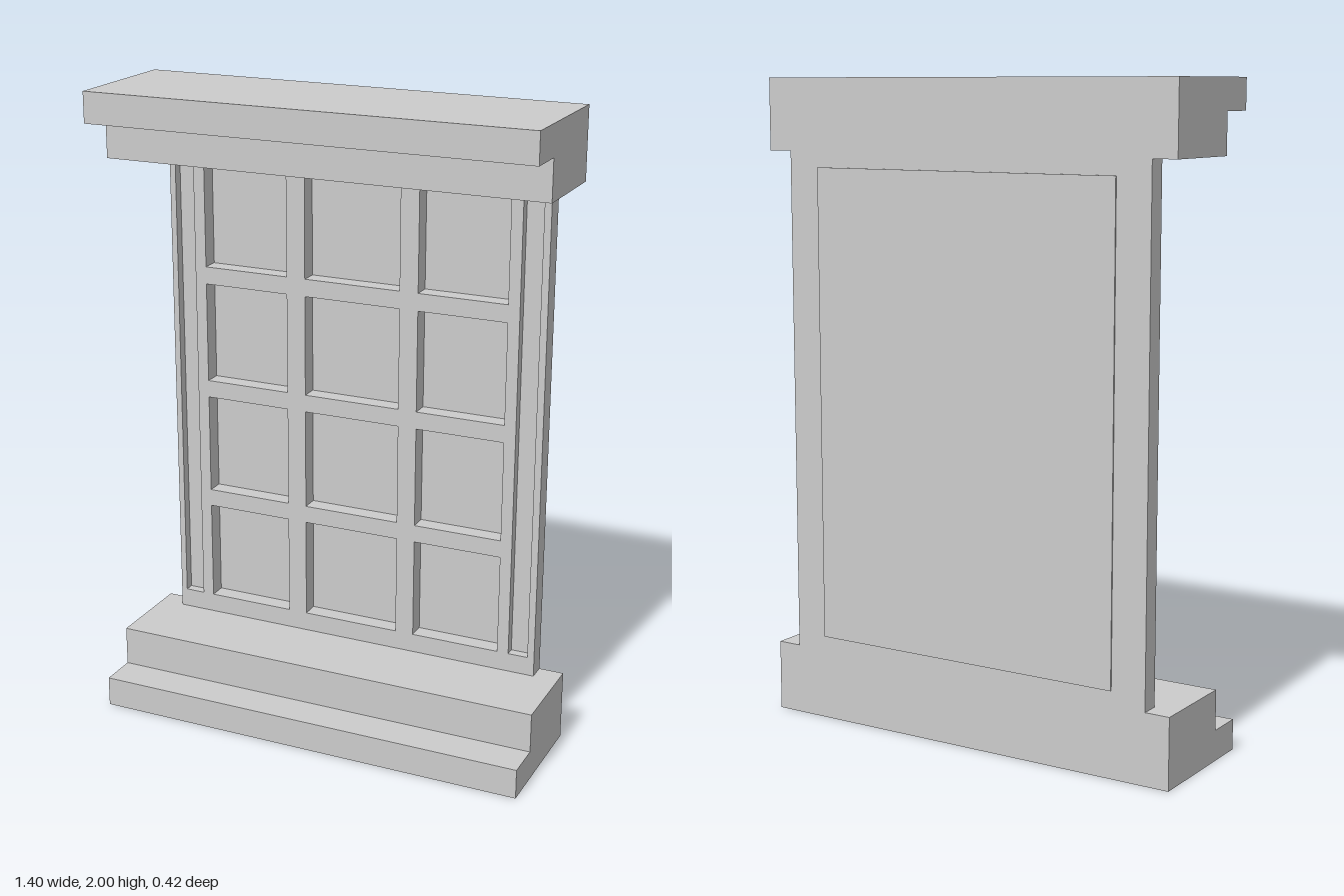
import * as THREE from 'three';

const BACK = -0.208, FRONT = -0.15, SLOT = -0.18;

function rectPoints([x0, x1, y0, y1]) {
  return [[x0, y0], [x1, y0], [x1, y1], [x0, y1]].map(([x, y]) => new THREE.Vector2(x, y));
}

// Flat panel with rectangular openings, between two depths
function panel(outline, openings, z0, z1) {
  const shape = new THREE.Shape(rectPoints(outline));
  for (const o of openings) shape.holes.push(new THREE.Path(rectPoints(o).reverse()));
  return new THREE.ExtrudeGeometry(shape, { depth: z1 - z0, bevelEnabled: false }).translate(0, 0, z0);
}

// Stepped profile run along x; the flipped one becomes the cornice
function ledge(flip) {
  const y = (v) => (flip ? 2 - v : v);
  const profile = [[BACK, 0], [0.21, 0], [0.21, 0.095], [0.09, 0.095], [0.09, 0.22], [BACK, 0.22]];
  const shape = new THREE.Shape(profile.map(([z, v]) => new THREE.Vector2(-z, y(v))));
  return new THREE.ExtrudeGeometry(shape, { depth: 1.4, bevelEnabled: false })
    .rotateY(Math.PI / 2).translate(-0.7, 0, 0);
}

export function createModel() {
  const group = new THREE.Group();
  const material = new THREE.MeshStandardMaterial({ color: 0xcccccc, flatShading: true });
  const add = (name, geometry) => {
    const mesh = new THREE.Mesh(geometry, material);
    mesh.name = name;
    group.add(mesh);
  };

  // Sill and cornice
  add('sill', ledge(false));
  add('cornice', ledge(true));

  // Three by four grid of window openings, plus a shallow slot on each side
  const openings = [];
  for (const [x0, x1] of [[-0.503, -0.222], [-0.16, 0.155], [0.215, 0.5]])
    for (let row = 0; row < 4; row++) {
      const y = 0.28 + row * 0.3755;
      openings.push([x0, x1, y, y + 0.32]);
    }
  const slots = [[-0.603, -0.54, 0.28, 1.725], [0.537, 0.6, 0.28, 1.725]];
  const outline = [-0.622, 0.622, 0.22, 1.78];
  add('frameFront', panel(outline, [...openings, ...slots], SLOT, FRONT));
  add('frameBack', panel(outline, openings, BACK, SLOT));

  // Thin pane closing the openings from behind
  add('pane', panel([-0.512, 0.518, 0.265, 1.732], [], -0.212, -0.205));
  return group;
}
